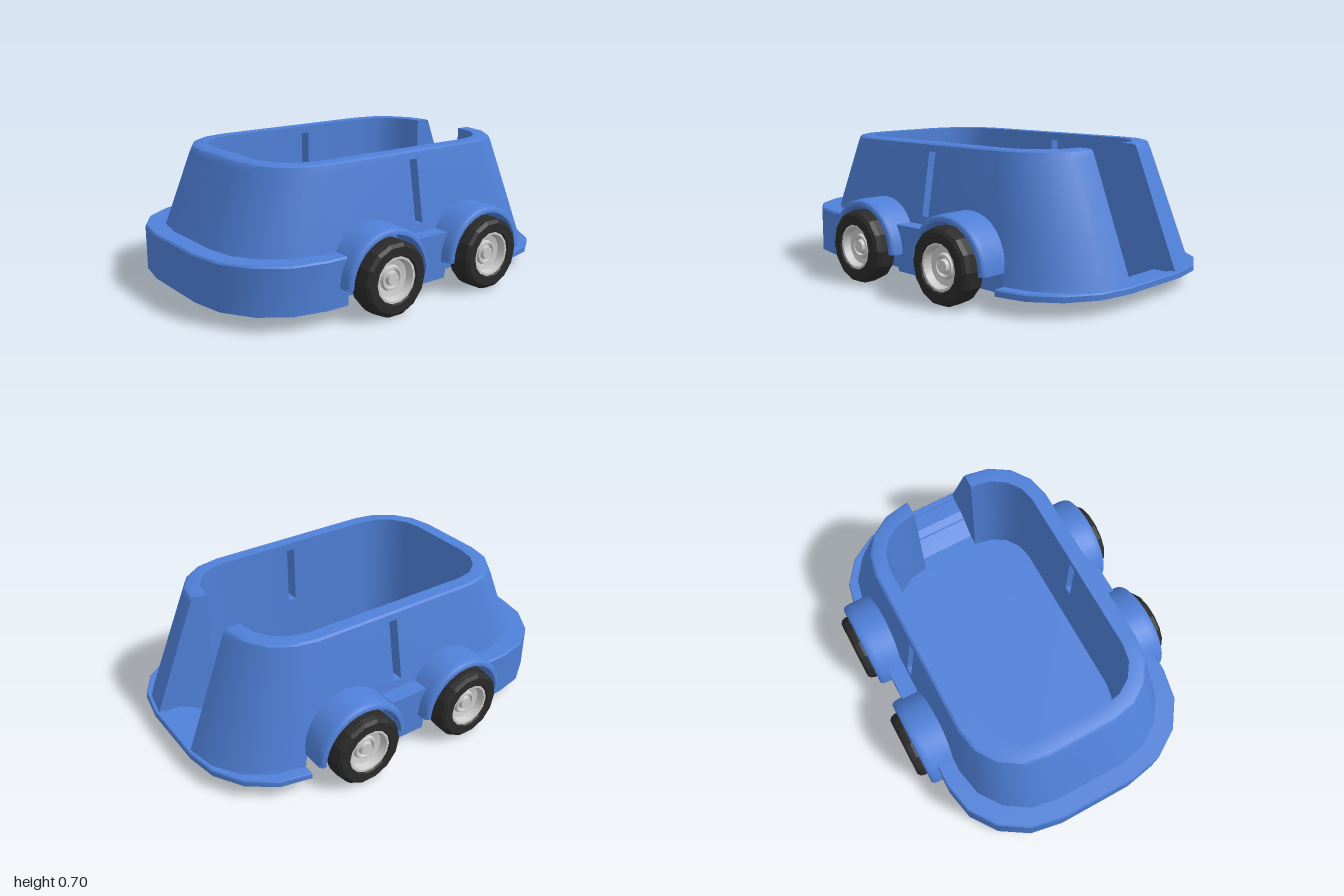
import * as THREE from 'three';
import { toCreasedNormals } from 'three/addons/utils/BufferGeometryUtils.js';

const blue = new THREE.MeshStandardMaterial({ color: 0x4f80d8, side: THREE.DoubleSide });
const black = new THREE.MeshStandardMaterial({ color: 0x2a2a2a, flatShading: true, side: THREE.DoubleSide });
const grey = new THREE.MeshStandardMaterial({ color: 0xcccccc, side: THREE.DoubleSide });
const N = 4; // segments per rounded corner

function mesh(name, geometry, material = blue) {
  const m = new THREE.Mesh(geometry, material);
  m.name = name;
  return m;
}

// Skin between rows of [x, y, z] points, leaving out the quads that skip(row, column) picks
function loft(rows, skip = () => false) {
  const pos = [];
  for (let i = 0; i < rows.length - 1; i++) {
    for (let j = 0; j < rows[i].length - 1; j++) {
      if (skip(i, j)) continue;
      const [a, b, c, d] = [rows[i][j], rows[i][j + 1], rows[i + 1][j + 1], rows[i + 1][j]];
      pos.push(...a, ...b, ...c, ...a, ...c, ...d);
    }
  }
  const g = new THREE.BufferGeometry();
  g.setAttribute('position', new THREE.Float32BufferAttribute(pos, 3));
  return toCreasedNormals(g, 0.6);
}

// Rounded corner on the +x side, at the front (f = 1, side to front) or back (f = -1, back to side)
function corner(W, L, cx, cz, y, f) {
  return Array.from({ length: N + 1 }, (_, i) => {
    const a = (i / N) * Math.PI / 2;
    const [u, v] = f > 0 ? [Math.cos(a), Math.sin(a)] : [Math.sin(a), Math.cos(a)];
    return [cx + (W - cx) * u, y, f * (cz + (L - cz) * v)];
  });
}

const mirror = half => [...half, ...half.slice().reverse().map(([x, y, z]) => [-x, y, z])];

// Outline from one doorway edge round the front to the other
function outline(W, L, cz, y, door) {
  return mirror([
    [door, y, -L], ...corner(W, L, 0.18, cz, y, -1),
    [W, y, -0.06], [W, y, -0.015], ...corner(W, L, 0.18, cz, y, 1),
  ]);
}
const innerRing = y => outline(0.41, 0.67, 0.45, y, 0.165);
const outerRing = (y, inset = 0) => {
  const d = 0.7 - y;
  return outline(0.49 + 0.167 * d - inset, 0.75 + 0.4 * d - inset, 0.45 + 0.25 * d, y, 0.167 + 0.018 * d);
};

// Extrude a [z, y] profile along x
function extrudeX(points, x0, x1) {
  const shape = new THREE.Shape(points.map(([z, y]) => new THREE.Vector2(-z, y)));
  const g = new THREE.ExtrudeGeometry(shape, { depth: x1 - x0, bevelEnabled: false });
  return g.rotateY(Math.PI / 2).translate(x0, 0, 0);
}

// Turn a [radius, x] profile about the x axis
function latheX(points, segments, start = 0, length = Math.PI * 2) {
  const g = new THREE.LatheGeometry(points.map(p => new THREE.Vector2(...p)), segments, start, length);
  return toCreasedNormals(g.rotateZ(-Math.PI / 2), 0.6);
}

function buildBody() {
  const body = new THREE.Group();
  body.name = 'body';

  // Double wall: tub inside, sloping shell outside
  const inner = [0.01, 0.17, 0.35, 0.66, 0.7].map(innerRing);
  const outer = [outerRing(0.7, 0.012), outerRing(0.692, 0.002),
    ...[0.66, 0.35, 0.17, 0.1].map(y => outerRing(y))];
  const count = inner[0].length;
  const slotA = N + 2, slotB = count - 1 - (N + 3);
  const isSide = j => {
    const k = j < count / 2 ? j : count - 2 - j;
    return k >= N + 1 && k <= N + 3;
  };
  body.add(mesh('wall', loft([...inner, ...outer], (i, j) =>
    ((i === 2 || i === 7) && (j === slotA || j === slotB)) || (i === 9 && isSide(j)))));

  // Reveals of the narrow side slots
  for (const j of [slotA, slotB]) {
    const loop = (lo, hi) => [lo[j], lo[j + 1], hi[j + 1], hi[j], lo[j]];
    body.add(mesh('slotReveal', loft([loop(inner[2], inner[3]), loop(outer[3], outer[2])])));
  }

  // Doorway jambs
  const outerRows = [outer[5], outer[4], outer[3], outer[2], outer[0]];
  for (const j of [0, count - 1]) {
    body.add(mesh('doorJamb', loft(inner.map((ring, i) => [ring[j], outerRows[i][j]]))));
  }

  // Floor
  const floorShape = new THREE.Shape(
    outline(0.408, 0.668, 0.45, 0, 0.165).map(([x, , z]) => new THREE.Vector2(x, z)));
  const floor = new THREE.ExtrudeGeometry(floorShape, { depth: 0.015, bevelEnabled: false });
  body.add(mesh('floor', floor.rotateX(Math.PI / 2).translate(0, 0.025, 0)));

  // Entry ramp and threshold
  body.add(mesh('ramp', extrudeX([[-0.99, 0.082], [-0.99, 0.104], [-0.87, 0.104], [-0.73, 0.025],
    [-0.65, 0.025], [-0.65, 0.012], [-0.72, 0.012], [-0.82, 0.082]], -0.175, 0.175)));

  // Front bumper skirt, hollow underneath
  const skirt = (W, L, y) => mirror([[W, y, 0.47], ...corner(W, L, 0.2, 0.58, y, 1)]);
  body.add(mesh('frontBumper', loft([skirt(0.54, 0.89, 0.31), skirt(0.638, 0.993, 0.31),
    skirt(0.645, 1, 0.302), skirt(0.645, 1, 0.08), skirt(0.62, 0.975, 0.08), skirt(0.62, 0.975, 0.3)])));

  // Thin rim round the back
  const rim = (W, L, y) => mirror(corner(W, L, 0.2, 0.6, y, -1).reverse());
  body.add(mesh('rearRim', loft([rim(0.57, 0.96, 0.112), rim(0.64, 0.995, 0.112), rim(0.645, 1, 0.105),
    rim(0.645, 1, 0.08), rim(0.57, 0.96, 0.08), rim(0.57, 0.96, 0.112)])));

  // Sill blocks between the wheels
  const sill = [[0.055, 0.08], [0.07, 0.17], [0.07, 0.31], [-0.14, 0.31], [-0.14, 0.17], [-0.125, 0.08]];
  body.add(mesh('leftSill', extrudeX(sill, 0.52, 0.642)));
  body.add(mesh('rightSill', extrudeX(sill, -0.642, -0.52)));
  return body;
}

// Fender arch, tyre and hub for one corner, facing +x
function buildWheelUnit() {
  const unit = new THREE.Group();
  const fender = mesh('fender', latheX([[0.215, 0.5], [0.215, 0.705], [0.228, 0.705], [0.237, 0.7],
    [0.243, 0.688], [0.246, 0.665], [0.246, 0.5]], 16, Math.PI, Math.PI));
  fender.position.y = 0.17;
  unit.add(fender);
  for (const s of [-1, 1]) {
    const end = mesh('fenderEnd', new THREE.BoxGeometry(0.19, 0.008, 0.028));
    end.position.set(0.6, 0.174, s * 0.23);
    unit.add(end);
  }
  const wheel = new THREE.Group();
  wheel.name = 'wheel';
  wheel.position.y = 0.183;
  wheel.add(mesh('tyre', latheX([[0.11, 0.625], [0.16, 0.618], [0.176, 0.632], [0.183, 0.66],
    [0.183, 0.715], [0.176, 0.738], [0.16, 0.75], [0.118, 0.75], [0.108, 0.735], [0.108, 0.625]], 14), black));
  wheel.add(mesh('hub', latheX([[0, 0.63], [0.11, 0.63], [0.113, 0.742], [0.1, 0.742], [0.09, 0.705],
    [0.062, 0.698], [0.056, 0.715], [0.046, 0.715], [0.042, 0.7], [0.034, 0.7], [0.03, 0.722], [0, 0.722]], 20), grey));
  const axle = mesh('axle', new THREE.CylinderGeometry(0.03, 0.03, 0.1, 12).rotateZ(Math.PI / 2), grey);
  axle.position.x = 0.59;
  wheel.add(axle);
  unit.add(wheel);
  return unit;
}

export function createModel() {
  const model = new THREE.Group();
  model.name = 'wagon';
  model.add(buildBody());
  for (const [end, z] of [['front', 0.27], ['rear', -0.345]]) {
    for (const [side, turn] of [['Left', 0], ['Right', Math.PI]]) {
      const unit = buildWheelUnit();
      unit.name = `${end}${side}Wheel`;
      unit.position.z = z;
      unit.rotation.y = turn;
      model.add(unit);
    }
  }
  return model;
}
